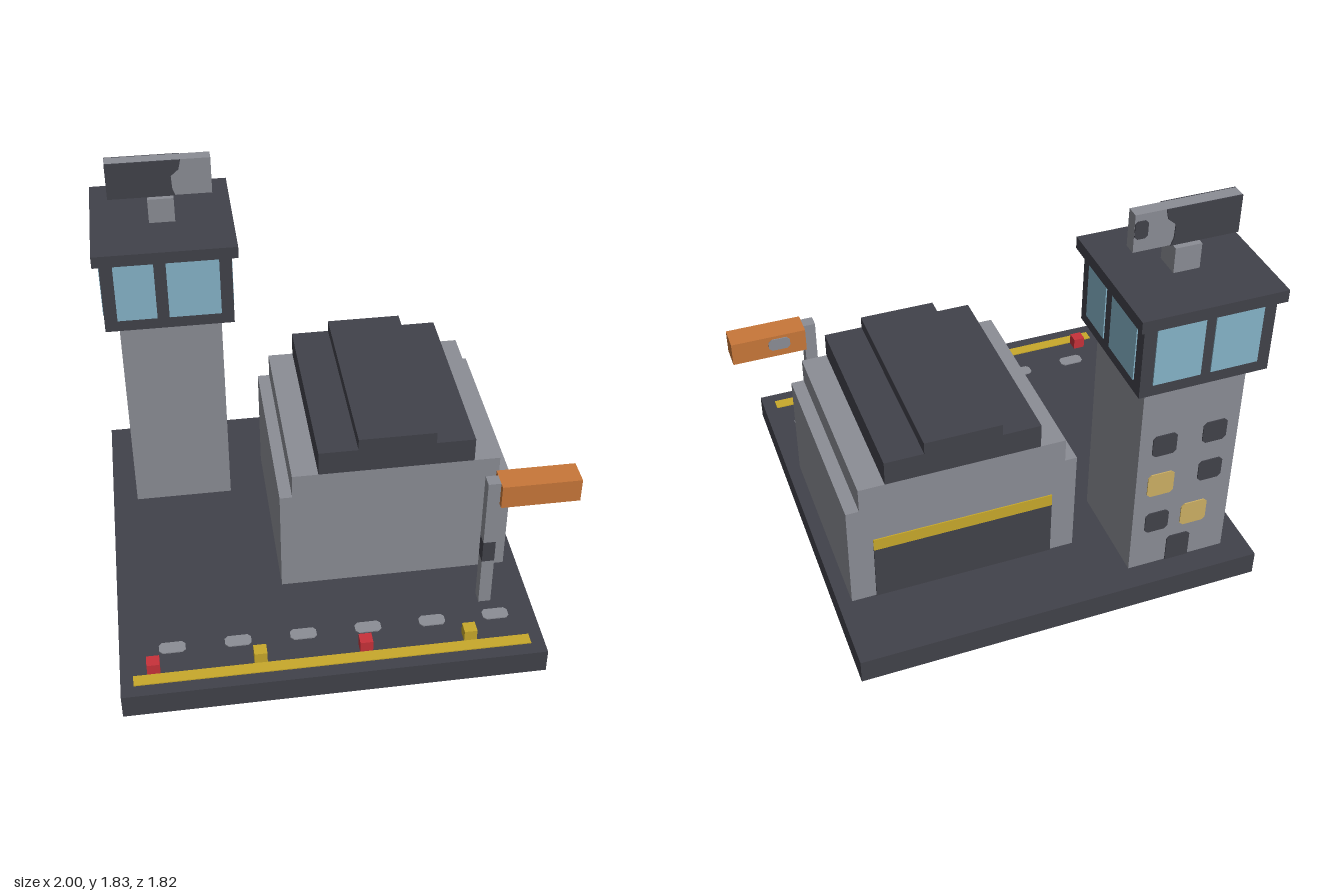
import * as THREE from 'three';

const mat = (name, color) => {
  const m = new THREE.MeshStandardMaterial({ color });
  m.name = name;
  return m;
};

export function createModel() {
  const dark = mat('charcoal', 0x41424a);
  const grey = mat('concrete grey', 0x8b8d95);
  const glass = mat('window blue', 0x86b4c9);
  const orange = mat('windsock orange', 0xc87739);
  const yellow = mat('marking yellow', 0xc8a92b);
  const red = mat('lamp red', 0xc8323a);
  const lit = mat('lit window', 0xcdb064);

  const model = new THREE.Group();
  model.name = 'airfield';
  const T = 0.005; // plate thickness

  const group = (name) => {
    const g = new THREE.Group();
    g.name = name;
    model.add(g);
    return g;
  };
  // Box given by its limits on each axis
  const box = (parent, name, m, [x0, x1], [y0, y1], [z0, z1]) => {
    const mesh = new THREE.Mesh(new THREE.BoxGeometry(x1 - x0, y1 - y0, z1 - z0), m);
    mesh.position.set((x0 + x1) / 2, (y0 + y1) / 2, (z0 + z1) / 2);
    mesh.name = name;
    parent.add(mesh);
    return mesh;
  };
  // Thin upright plate with a polygon outline, from z to z + T
  const plate = (parent, name, m, points, z) => {
    const shape = new THREE.Shape(points.map(([x, y]) => new THREE.Vector2(x, y)));
    const mesh = new THREE.Mesh(new THREE.ExtrudeGeometry(shape, { depth: T, bevelEnabled: false }), m);
    mesh.position.z = z;
    mesh.name = name;
    parent.add(mesh);
    return mesh;
  };
  // Rectangle outline with cut corners
  const cutRect = (cx, cy, w, h, c) => {
    const a = w / 2, b = h / 2;
    return [[-a + c, -b], [a - c, -b], [a, -b + c], [a, b - c], [a - c, b], [-a + c, b], [-a, b - c], [-a, -b + c]]
      .map(([x, y]) => [cx + x, cy + y]);
  };

  // Ground slab and markings
  const G = 0.115;
  const ground = group('ground');
  box(ground, 'baseSlab', dark, [-1, 0.83], [0, G], [-0.91, 0.91]);
  box(ground, 'edgeLine', yellow, [-0.945, 0.77], [G, G + T], [0.8, 0.853]);
  for (let i = 0; i < 6; i++) {
    const dash = plate(ground, 'runwayDash', grey, cutRect(0, 0, 0.115, 0.06, 0.014), 0);
    dash.rotation.x = -Math.PI / 2;
    dash.position.set(-0.772 + i * 0.2855, G, 0.658);
  }

  // Marker lamps
  for (let i = 0; i < 4; i++) {
    const x = -0.885 + i * 0.4565;
    box(ground, 'markerLamp', i % 2 ? yellow : red, [x, x + 0.056], [G, 0.172], [0.745, 0.8]);
  }

  // Control tower shaft
  const tower = group('controlTower');
  box(tower, 'shaft', grey, [-0.885, -0.43], [G, 1.145], [-0.8, -0.343]);
  const back = -0.8 - T;
  [[-0.545, 0.81, dark], [-0.775, 0.82, dark], [-0.545, 0.59, lit], [-0.775, 0.605, dark],
    [-0.545, 0.37, dark], [-0.72, 0.37, lit]].forEach(([x, y, m]) => {
    const s = m === lit ? 0.122 : 0.11;
    plate(tower, 'shaftWindow', m, cutRect(x, y, s, s, 0.015), back);
  });
  plate(tower, 'towerDoor', dark,
    [[-0.715, G], [-0.605, G], [-0.605, 0.24], [-0.62, 0.255], [-0.7, 0.255], [-0.715, 0.24]], back);

  // Cab with two windows on each side
  box(tower, 'cab', dark, [-0.945, -0.375], [1.145, 1.49], [-0.855, -0.285]);
  const wy = [1.2, 1.488];
  for (const span of [[-0.888, -0.713], [-0.66, -0.43]]) box(tower, 'frontWindow', glass, span, wy, [-0.285, -0.285 + T]);
  for (const span of [[-0.89, -0.682], [-0.638, -0.43]]) box(tower, 'backWindow', glass, span, wy, [-0.855 - T, -0.855]);
  for (const span of [[-0.8, -0.57], [-0.513, -0.342]]) box(tower, 'leftWindow', glass, [-0.375, -0.375 + T], wy, span);
  for (const span of [[-0.8, -0.59], [-0.55, -0.342]]) box(tower, 'rightWindow', glass, [-0.945 - T, -0.945], wy, span);
  box(tower, 'cabRoof', dark, [-0.973, -0.347], [1.49, 1.545], [-0.885, -0.258]);

  // Radar antenna
  const radar = group('radar');
  box(radar, 'radarMount', grey, [-0.715, -0.6], [1.545, 1.66], [-0.628, -0.515]);
  box(radar, 'radarPanel', grey, [-0.886, -0.43], [1.66, 1.83], [-0.598, -0.543]);
  const face = [[-0.886, 1.66], [-0.59, 1.66], [-0.602, 1.69], [-0.605, 1.755], [-0.57, 1.785], [-0.56, 1.83], [-0.886, 1.83]];
  plate(radar, 'radarFrontFace', dark, face, -0.543);
  plate(radar, 'radarBackFace', dark, face, -0.598 - T);
  plate(radar, 'radarBackPatch', dark, cutRect(-0.459, 1.76, 0.056, 0.08, 0.012), -0.598 - T);

  // Hangar with a stepped roof
  const hangar = group('hangar');
  const hz = [-0.571, 0.34];
  box(hangar, 'lowerWalls', grey, [-0.258, 0.77], [G, 0.63], hz);
  box(hangar, 'upperWalls', grey, [-0.203, 0.712], [0.63, 0.745], hz);
  box(hangar, 'lowerRoof', dark, [-0.088, 0.597], [0.745, 0.86], hz);
  box(hangar, 'upperRoof', dark, [0.085, 0.425], [0.86, 0.915], hz);
  box(hangar, 'hangarDoor', dark, [-0.148, 0.66], [G, 0.39], [hz[0] - T, hz[0]]);
  box(hangar, 'doorStripe', yellow, [-0.148, 0.66], [0.39, 0.45], [hz[0] - T, hz[0]]);

  // Windsock on a banded pole
  const sock = group('windsock');
  const px = [0.6, 0.655], pz = [0.517, 0.573];
  box(sock, 'poleBottom', grey, px, [G, 0.36], pz);
  box(sock, 'poleBand', dark, px, [0.36, 0.47], pz);
  box(sock, 'poleTop', grey, px, [0.47, 0.8], pz);
  box(sock, 'sock', orange, [0.655, 1], [0.688, 0.8], [0.486, 0.6]);
  plate(sock, 'sockPatch', grey, cutRect(0.78, 0.755, 0.1, 0.06, 0.015), 0.486 - T);

  return model;
}
